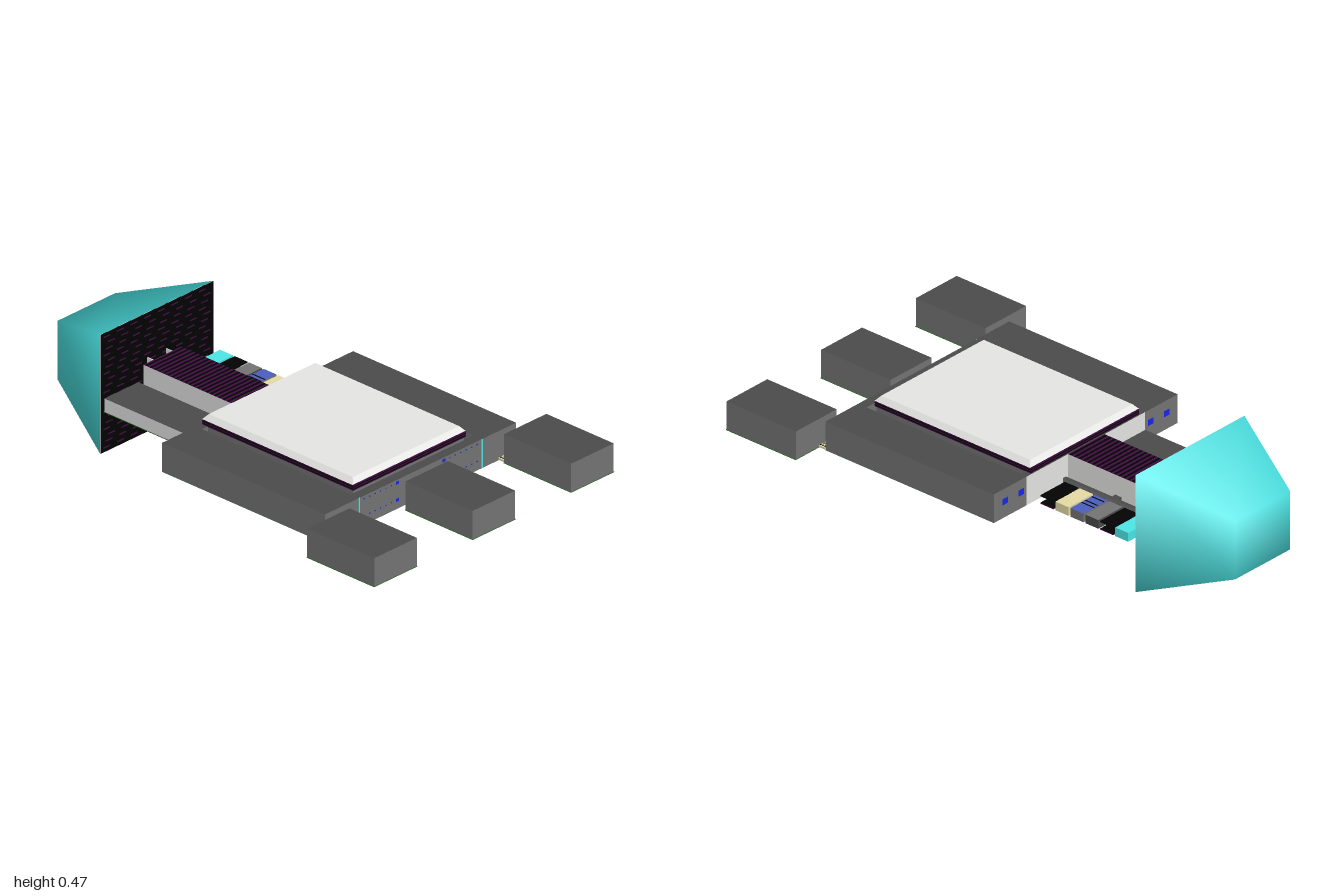
import * as THREE from 'three';

const mat = (name, color) => {
  const m = new THREE.MeshStandardMaterial({ color });
  m.name = name;
  return m;
};

export function createModel() {
  const root = new THREE.Group();
  root.name = 'modularVessel';
  const dark = mat('dark grey', 0x4b4b4b), mid = mat('mid grey', 0x747474);
  const light = mat('light grey', 0xe6e6e5), teal = mat('turquoise', 0x4de8e8);
  const black = mat('black', 0x030303), purple = mat('dark purple', 0x420c42);
  const blue = mat('slate blue', 0x4c5fc0), cream = mat('cream', 0xe6dca6);
  const dot = mat('bright blue', 0x1c2cff), green = mat('dull green', 0x2c6a2c);

  const add = (name, geo, material) => {
    const mesh = new THREE.Mesh(geo, material);
    mesh.name = name;
    root.add(mesh);
    return mesh;
  };
  // Box given by its limits; sides, top, bottom and back can differ in colour
  const box = (name, [x0, x1], [y0, y1], [z0, z1], side, top = side, bottom = side, back = side) => {
    const mesh = add(name, new THREE.BoxGeometry(x1 - x0, y1 - y0, z1 - z0),
      [side, side, top, bottom, side, back]);
    mesh.position.set((x0 + x1) / 2, (y0 + y1) / 2, (z0 + z1) / 2);
  };
  // Box whose lower and upper ends have their own half sizes
  const frustum = (w0, d0, w1, d1, h) => {
    const g = new THREE.BoxGeometry(2, h, 2);
    const p = g.attributes.position;
    for (let i = 0; i < p.count; i++) {
      const up = p.getY(i) > 0;
      p.setX(i, p.getX(i) * (up ? w1 : w0));
      p.setZ(i, p.getZ(i) * (up ? d1 : d0));
    }
    g.computeVertexNormals();
    return g;
  };
  // Cream walkway with dark speckles
  const walkway = (name, x, z0, z1) => {
    box(name, [x - 0.046, x + 0.046], [0.182, 0.19], [z0, z1], cream, cream, light);
    for (let i = 0; i < 6; i++) {
      const sx = x - 0.04 + i * 0.015;
      for (const t of [0.2, 0.5, 0.8]) {
        const z = z0 + (z1 - z0) * t + (i % 2) * 0.003;
        box('walkwaySpeck', [sx, sx + 0.006], [0.189, 0.191], [z - 0.003, z + 0.003], black);
      }
    }
  };

  const Y = [0.18, 0.296];

  // Front pods with thin green rims, and their walkways
  for (const x of [-0.505, 0, 0.505]) {
    box('frontPod', [x - 0.109, x + 0.109], Y, [0.67, 1], mid, dark, mid);
    box('podRim', [x - 0.111, x + 0.111], [0.181, 0.183], [0.669, 1.001], green);
    walkway('podWalkway', x * 0.881, 0.638, 0.672);
  }
  walkway('innerWalkway', 0, 0.58, 0.602);

  // Main hull: side blocks, front bar, rear wall and base
  for (const s of [-1, 1]) {
    const x = [0.315 * s, 0.49 * s].sort((a, b) => a - b);
    box('sideHull', x, Y, [-0.16, 0.64], mid, dark, dark);
    for (const sx of [0.315, 0.487]) {
      box('bottomSeam', [s * sx - 0.002, s * sx + 0.002], [0.179, 0.181], [-0.155, 0.635], teal);
    }
    box('seamStrip', [s * 0.315 - 0.003, s * 0.315 + 0.003], Y, [0.638, 0.641], teal);
    for (const dx of [0.345, 0.43]) {
      box('rearLamp', [s * dx - 0.014, s * dx + 0.014], [0.233, 0.257], [-0.161, -0.157], dot);
    }
    for (const y of [0.216, 0.284]) {
      box('frontLamp', [s * 0.12 - 0.007, s * 0.12 + 0.007], [y - 0.006, y + 0.006], [0.638, 0.641], dot);
      for (let i = 0; i < 6; i++) {
        const lx = s * (0.15 + i * 0.028);
        box('frontLight', [lx - 0.003, lx + 0.003], [y - 0.002, y + 0.002], [0.638, 0.641], dot);
      }
    }
  }
  box('frontBar', [-0.315, 0.315], Y, [0.6, 0.64], mid, dark, light);
  box('rearWall', [-0.315, 0.315], Y, [-0.16, -0.13], mid, dark, light, light);
  box('hullCore', [-0.285, 0.285], [0.181, 0.296], [-0.13, 0.58], mid);
  const base = add('basePlate', new THREE.PlaneGeometry(0.63, 0.76).rotateX(Math.PI / 2), light);
  base.position.set(0, 0.1798, 0.24);

  // Underside pad with sloped edges
  const pad = add('bellyPad', frustum(0.17, 0.215, 0.21, 0.255, 0.02), [dark, dark, dark, light, dark, dark]);
  pad.position.set(0, 0.17, 0.235);

  // Bevelled roof on a striped trim layer
  box('roofTrim', [-0.288, 0.288], [0.295, 0.319], [-0.155, 0.585], purple);
  for (const y of [0.299, 0.308]) {
    box('trimStripe', [-0.289, 0.289], [y, y + 0.004], [-0.156, 0.586], black);
  }
  const roof = add('roofPanel', frustum(0.29, 0.37, 0.273, 0.353, 0.02), light);
  roof.position.set(0, 0.328, 0.215);

  // Rear spine with striped deck
  box('spine', [-0.1, 0.095], Y, [-0.625, -0.16], light, purple, light);
  for (let i = 0; i < 22; i++) {
    const z = -0.617 + i * 0.021;
    box('spineStripe', [-0.099, 0.094], [0.295, 0.2965], [z, z + 0.01], black);
  }
  // Open passage from the spine to the hood
  walkway('rearWalkway', 0, -0.655, -0.624);
  for (const s of [-1, 1]) {
    box('passageWall', [s * 0.048 - 0.002, s * 0.048 + 0.002], Y, [-0.655, -0.624], light);
  }

  // Container and rail either side of the spine
  box('sideContainer', [-0.3, -0.125], [0.18, 0.236], [-0.625, -0.175], light, dark, light);
  box('containerRim', [-0.302, -0.124], [0.181, 0.183], [-0.626, -0.174], green);
  box('rail', [0.122, 0.138], [0.185, 0.222], [-0.625, -0.175], mid, dark);
  box('crossBar', [-0.128, 0.125], [0.19, 0.215], [-0.415, -0.385], dark);

  // Row of cargo cells: top and side colours; the black ones are open trays
  [[teal, teal], [black, black], [mid, dark], [blue, mid], [cream, cream], [black, black]].forEach(([top, side], i) => {
    const z = -0.58 + i * 0.071;
    const limits = [z - 0.031, z + 0.031];
    if (top === black) {
      box('trayLid', [0.15, 0.28], [0.214, 0.219], limits, black);
      box('trayFloor', [0.15, 0.28], [0.184, 0.189], limits, purple, black, black);
    } else {
      box('cargoCell', [0.15, 0.28], [0.184, 0.219], limits, side, top, black);
    }
    box('cellClamp', [0.136, 0.152], [0.192, 0.216], [z - 0.008, z + 0.008], dark);
    if (top === blue) {
      for (const x of [0.165, 0.2, 0.22]) {
        box('cellBand', [x, x + 0.005], [0.218, 0.22], [z - 0.03, z + 0.03], black);
      }
    }
  });

  // Tapered tail hood with soft shading across shared corners
  const hood = new THREE.BufferGeometry();
  const corners = [[-1, -1], [1, -1], [1, 1], [-1, 1]];
  const ring = (w, h, z) => corners.flatMap(([sx, sy]) => [sx * w, sy * h, z]);
  hood.setAttribute('position', new THREE.Float32BufferAttribute(
    [...ring(0.29, 0.2375, 0), ...ring(0.147, 0.118, -0.345)], 3));
  hood.setAttribute('normal', new THREE.Float32BufferAttribute(
    [...ring(0.92, 0.945, -0.71), ...ring(0.92, 0.945, -1.71)], 3));
  hood.normalizeNormals();
  const faces = [4, 6, 5, 4, 7, 6];
  for (let i = 0; i < 4; i++) {
    const j = (i + 1) % 4;
    faces.push(i, i + 4, j, j, i + 4, j + 4);
  }
  hood.setIndex(faces);
  add('tailHood', hood, teal).position.set(0, 0.2375, -0.655);
  const face = add('hoodFace', new THREE.PlaneGeometry(0.58, 0.475), black);
  face.position.set(0, 0.2375, -0.654);

  // Staggered dashes on the hood face
  for (let r = 0; r < 19; r++) {
    for (let c = 0; c < 8; c++) {
      const x = -0.275 + c * 0.07 + (r % 3) * 0.012, y = 0.015 + r * 0.0245;
      box('hoodDash', [x, x + 0.034], [y, y + 0.005], [-0.6545, -0.653], purple);
    }
  }
  return root;
}
